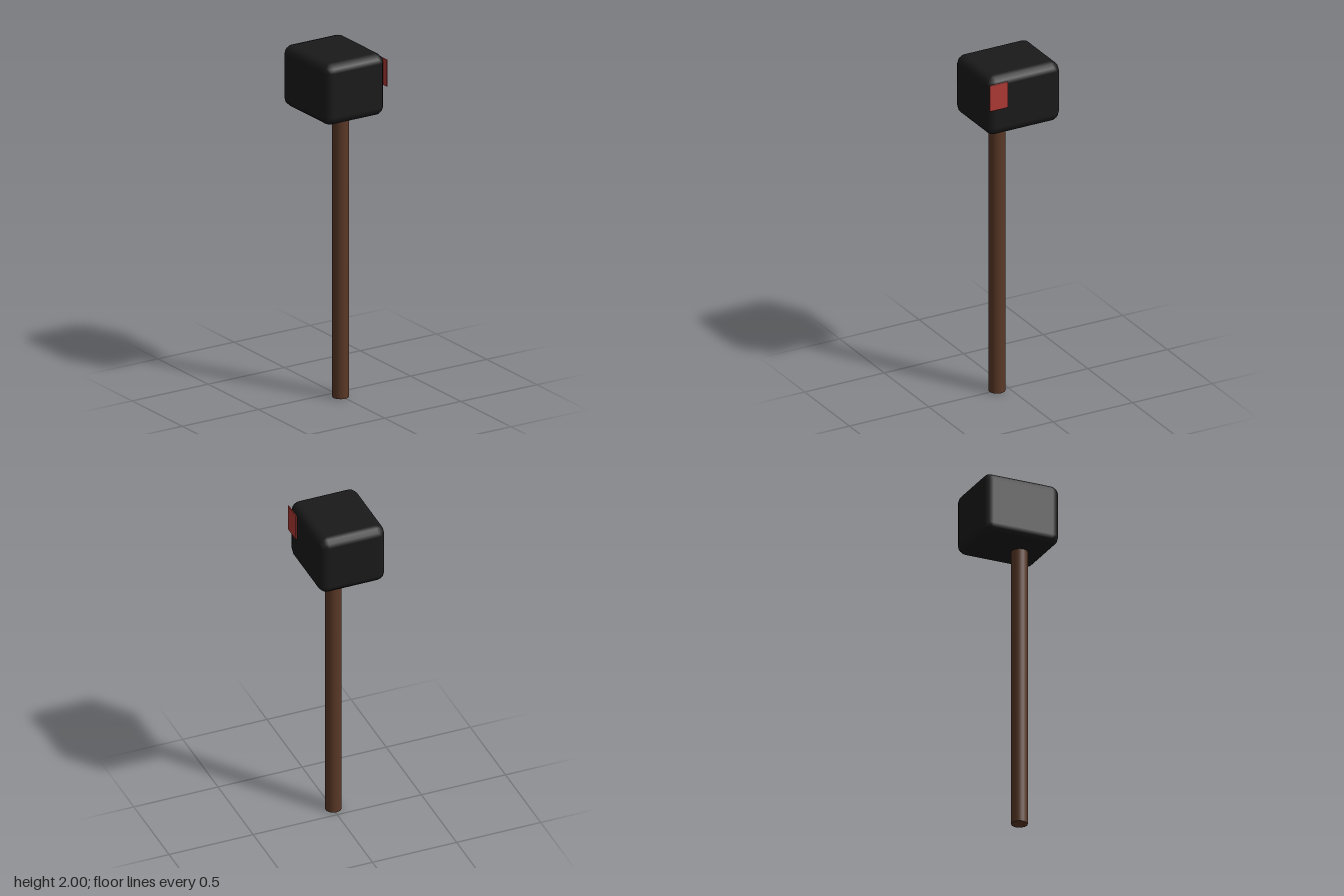
import * as THREE from 'three';
import { ConvexGeometry } from 'three/addons/geometries/ConvexGeometry.js';
import { RoundedBoxGeometry } from 'three/addons/geometries/RoundedBoxGeometry.js';

const paint = (color) => new THREE.MeshStandardMaterial({ color });

function addPart(group, name, geometry, color, x, y, z) {
  const mesh = new THREE.Mesh(geometry, paint(color));
  mesh.name = name;
  mesh.position.set(x, y, z);
  group.add(mesh);
}

// Box with rounded edges: hull of an eighth of a sphere at each corner, smooth normals
function softBox(w, h, d, r, steps) {
  const inner = new THREE.Vector3(w / 2 - r, h / 2 - r, d / 2 - r);
  const points = [];
  for (const sx of [-1, 1]) for (const sy of [-1, 1]) for (const sz of [-1, 1]) {
    for (let i = 0; i <= steps; i++) {
      const lift = (i / steps) * Math.PI / 2;
      const turns = i === steps ? 0 : steps;
      for (let j = 0; j <= turns; j++) {
        const turn = (j / steps) * Math.PI / 2;
        points.push(new THREE.Vector3(
          sx * (inner.x + r * Math.cos(lift) * Math.cos(turn)),
          sy * (inner.y + r * Math.sin(lift)),
          sz * (inner.z + r * Math.cos(lift) * Math.sin(turn))));
      }
    }
  }
  const geometry = new ConvexGeometry(points);
  const { position, normal } = geometry.attributes;
  const low = inner.clone().negate();
  const p = new THREE.Vector3();
  for (let i = 0; i < position.count; i++) {
    p.fromBufferAttribute(position, i);
    p.sub(p.clone().clamp(low, inner)).normalize();
    normal.setXYZ(i, p.x, p.y, p.z);
  }
  return geometry;
}

export function createModel() {
  const model = new THREE.Group();
  model.name = 'mailbox';

  // Round wooden post, set forward of the centre
  addPart(model, 'post', new THREE.CylinderGeometry(0.046, 0.046, 1.66, 24), 0x5a3826, -0.005, 0.83, 0.069);
  // Black box with softened edges
  addPart(model, 'box', softBox(0.392, 0.355, 0.46, 0.05, 3), 0x1a1a1a, -0.004, 1.8225, 0);
  // Thin red flag on the left side, near the front
  addPart(model, 'flag', new RoundedBoxGeometry(0.008, 0.157, 0.114, 2, 0.003), 0xb03a35, 0.196, 1.888, 0.171);

  return model;
}
